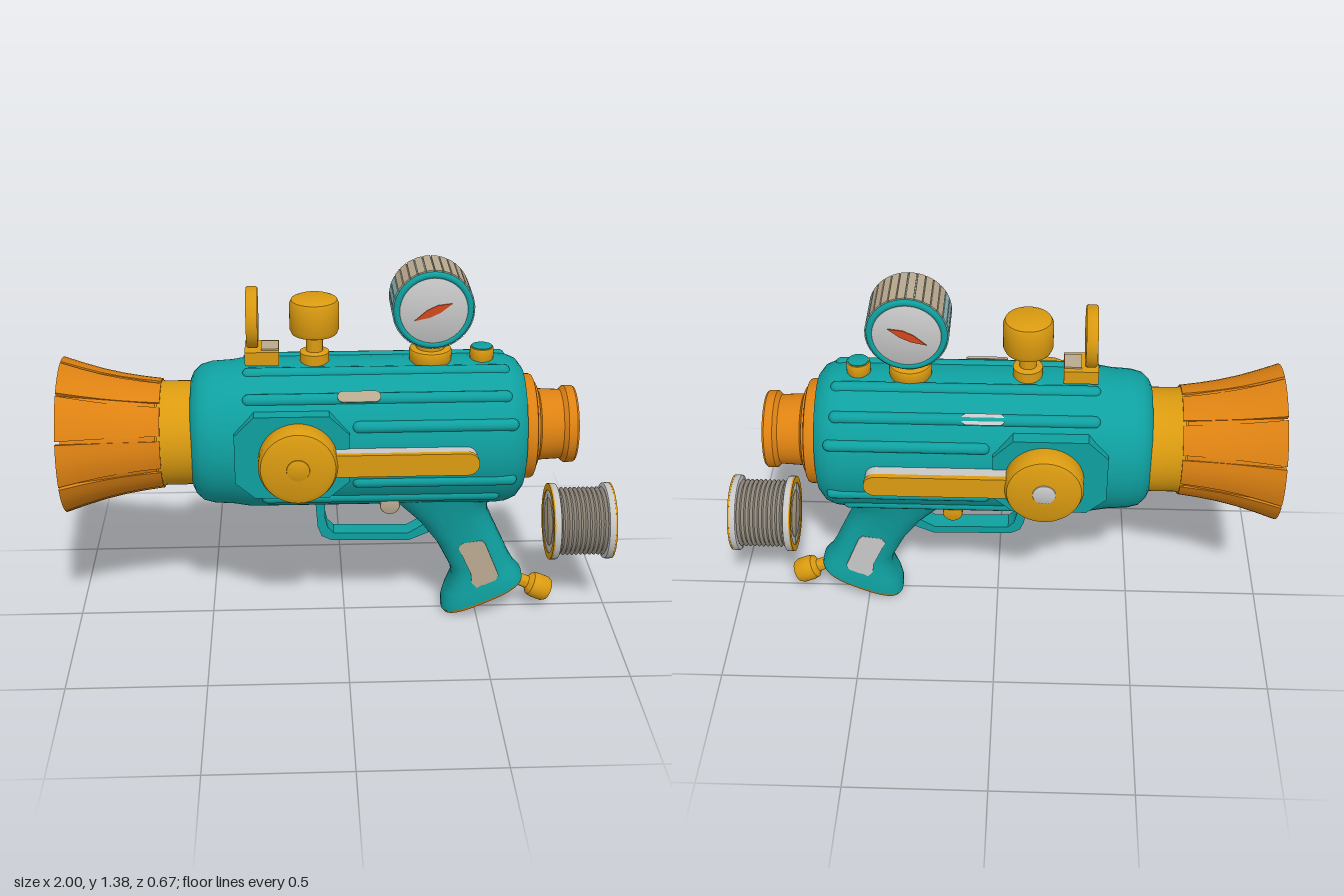
import * as THREE from 'three';
import { toCreasedNormals } from 'three/addons/utils/BufferGeometryUtils.js';

const material = (name, color) => {
  const m = new THREE.MeshStandardMaterial({ color });
  m.name = name;
  return m;
};

export function createModel() {
  const model = new THREE.Group();
  model.name = 'toyBlaster';
  const teal = material('teal', 0x0fa0a0);
  const orange = material('orange', 0xde8212);
  const yellow = material('yellow', 0xdb9b10);
  const beige = material('beige', 0xb9a98f);
  const grey = material('lightGrey', 0xc8c8c8);
  const cordTone = material('cord', 0xa0978a);
  const rimTone = material('paleTeal', 0x8fb8b8);
  const red = material('red', 0xd2481c);
  const AXIS = 0.757;

  const add = (name, geometry, mat, x = 0, y = 0, z = 0) => {
    const mesh = new THREE.Mesh(geometry, mat);
    mesh.name = name;
    mesh.position.set(x, y, z);
    model.add(mesh);
    return mesh;
  };
  const crease = (g, angle = 0.6) => toCreasedNormals(g, angle);

  // Turned part: profile of [radius, distance along axis]
  const turned = (name, mat, profile, axis, x, y, z, scaleY = 1) => {
    const g = new THREE.LatheGeometry(profile.map(p => new THREE.Vector2(...p)), 48);
    if (axis === 'x') g.rotateZ(-Math.PI / 2);
    if (axis === 'z') g.rotateX(Math.PI / 2);
    if (axis === '-z') g.rotateX(-Math.PI / 2);
    g.scale(1, scaleY, 1);
    return add(name, crease(g), mat, x, y, z);
  };
  // Solid disc with a softened edge
  const puck = (r, a, b, e = 0.01) =>
    [[0, a], [r - e, a], [r - e * 0.3, a + e * 0.3], [r, a + e], [r, b - e], [r - e * 0.3, b - e * 0.3], [r - e, b], [0, b]];

  // Flat plate between two depths, mirrored to the side s
  const plate = (name, mat, shape, z0, z1, s = 1) => {
    const g = new THREE.ExtrudeGeometry(shape, { depth: z1 - z0, bevelEnabled: false, curveSegments: 10 });
    return add(name, crease(g), mat, 0, 0, s > 0 ? z0 : -z1);
  };
  const polygon = pts => new THREE.Shape(pts.map(p => new THREE.Vector2(...p)));
  const stadium = (x0, x1, y, r) => {
    const s = new THREE.Shape();
    s.absarc(x1 - r, y, r, -Math.PI / 2, Math.PI / 2);
    s.absarc(x0 + r, y, r, Math.PI / 2, Math.PI * 1.5);
    return s;
  };

  // Main body, slightly taller than wide
  turned('body', teal, [[0, -0.545], [0.18, -0.545], [0.2, -0.535], [0.222, -0.51], [0.232, -0.47], [0.236, -0.4],
    [0.245, -0.34], [0.246, 0.54], [0.242, 0.58], [0.228, 0.615], [0.2, 0.638], [0, 0.642]], 'x', 0, AXIS, 0, 1.125);

  // Long ribs along the body
  const rib = (deg, x0, x1, s) => {
    const a = deg * Math.PI / 180, r = 0.022;
    const g = new THREE.CapsuleGeometry(r, x1 - x0 - 2 * r, 6, 12).rotateZ(Math.PI / 2);
    add('bodyRib', g, teal, (x0 + x1) / 2, AXIS + 0.267 * Math.sin(a), s * 0.237 * Math.cos(a));
  };

  // Horn: neck, outer shell, inner cone
  turned('hornNeck', yellow, [[0.19, -0.67], [0.195, -0.66], [0.188, -0.64], [0.188, -0.53]], 'x', 0, AXIS, 0);
  turned('hornShell', orange, [[0.255, -0.985], [0.222, -0.82], [0.188, -0.65]], 'x', 0, AXIS, 0);
  turned('hornInside', yellow, [[0, -0.66], [0.17, -0.66], [0.24, -0.985], [0.255, -0.985]], 'x', 0, AXIS, 0);
  // Ten flared petals wrapped around the horn
  for (let i = 0; i < 10; i++) {
    const g = new THREE.BoxGeometry(1, 1, 1, 5, 1, 5);
    const p = g.attributes.position;
    for (let k = 0; k < p.count; k++) {
      const u = p.getX(k) + 0.5, v = p.getY(k) - 0.5, w = p.getZ(k);
      const r = 0.28 - 0.083 * u - 0.012 * Math.sin(Math.PI * u) + v * 0.027;
      const t = (i + 0.5 + w * (0.93 - 0.08 * u)) * Math.PI / 5;
      p.setXYZ(k, -1 + 0.35 * u, r * Math.cos(t), r * Math.sin(t));
    }
    add('hornPetal', crease(g), orange, 0, AXIS, 0);
  }

  // Rear ring and nozzle
  turned('rearRing', orange, puck(0.19, 0.63, 0.68, 0.012), 'x', 0, 0.763, 0);
  turned('rearNozzle', orange, [[0.16, 0.675], [0.155, 0.69], [0.13, 0.7], [0.126, 0.78], [0.14, 0.795],
    [0.14, 0.825], [0.135, 0.832], [0.105, 0.832], [0.102, 0.82]], 'x', 0, 0.768, 0);
  turned('rearCap', beige, [[0.106, 0.822], [0, 0.822]], 'x', 0, 0.768, 0);

  // Parts on both sides
  for (const s of [1, -1]) {
    const axis = s > 0 ? 'z' : '-z';
    const trim = s > 0 ? beige : grey;
    for (const [deg, x0, x1] of [[24, 0.02, 0.6], [-22, 0.02, 0.6], [46, -0.36, 0.58], [-42, -0.3, 0.55], [72, -0.36, 0.58]])
      rib(deg, x0, x1, s);
    plate('dialCollar', teal, polygon([[-0.39, 0.67], [-0.32, 0.61], [-0.06, 0.61], [0.01, 0.67],
      [0.01, 0.85], [-0.06, 0.92], [-0.32, 0.92], [-0.39, 0.85]]), 0.12, 0.247, s);
    turned('sideDial', yellow, puck(0.138, 0.2, 0.33, 0.028), axis, -0.17, AXIS, 0);
    turned('dialCentre', s > 0 ? yellow : grey, puck(0.04, 0.325, 0.334, 0.003), axis, -0.17, AXIS, 0);
    plate('leverCore', grey, stadium(-0.1, 0.455, AXIS, 0.039), 0.22, 0.285, s);
    plate('leverFace', yellow, stadium(-0.1, 0.457, AXIS, 0.041), 0.285, 0.305, s);
    const slot = plate('bodySlot', trim, stadium(-0.075, 0.075, 0, 0.02), -0.004, 0.004, s);
    slot.position.set(0.045, 0.963, s * 0.18);
    slot.rotation.x = -s * 0.72;
    turned('pivotPin', s > 0 ? beige : yellow, puck(0.036, 0.1, 0.185, 0.006), axis, 0.157, 0.54, 0);
    plate('gripPanel', trim, polygon([[0.42, 0.31], [0.435, 0.33], [0.505, 0.34], [0.52, 0.325],
      [0.575, 0.19], [0.565, 0.17], [0.495, 0.137], [0.475, 0.16], [0.47, 0.2]]), 0.086, 0.095, s);
  }

  // Grip: cross-sections of [front x, front y, rear x, rear y, half width]
  const loft = (name, mat, sections) => {
    const n = 32, pos = [], index = [];
    const pw = c => Math.sign(c) * Math.pow(Math.abs(c), 0.7);
    for (const [lx, ly, rx, ry, hz] of sections)
      for (let i = 0; i < n; i++) {
        const t = i / n * Math.PI * 2, c = (1 + pw(Math.cos(t))) / 2;
        pos.push(lx + (rx - lx) * c, ly + (ry - ly) * c, hz * pw(Math.sin(t)));
      }
    for (let j = 0; j < sections.length - 1; j++)
      for (let i = 0; i < n; i++) {
        const a = j * n + i, b = j * n + (i + 1) % n;
        index.push(a, b, a + n, b, b + n, a + n);
      }
    const g = new THREE.BufferGeometry();
    g.setAttribute('position', new THREE.Float32BufferAttribute(pos, 3));
    g.setIndex(index);
    add(name, crease(g, 0.7), mat);
  };
  loft('grip', teal, [[0.14, 0.52, 0.6, 0.57, 0.14], [0.2, 0.475, 0.53, 0.5, 0.125], [0.275, 0.4, 0.53, 0.44, 0.108],
    [0.345, 0.305, 0.56, 0.37, 0.095], [0.4, 0.195, 0.6, 0.285, 0.09], [0.405, 0.15, 0.62, 0.24, 0.09],
    [0.38, 0.085, 0.645, 0.195, 0.096], [0.37, 0.045, 0.672, 0.165, 0.1], [0.37, 0.014, 0.676, 0.147, 0.1]]);
  loft('gripBase', orange, [[0.37, 0.014, 0.676, 0.147, 0.1], [0.378, 0.003, 0.674, 0.137, 0.095],
    [0.52, 0.068, 0.52, 0.068, 0]]);

  // Valve at the base of the grip
  const valve = new THREE.LatheGeometry([[0, -0.1], [0.024, -0.1], [0.024, 0.075], [0.044, 0.09], [0.048, 0.11],
    [0.048, 0.15], [0.04, 0.165], [0, 0.168]].map(p => new THREE.Vector2(...p)), 24);
  add('gripValve', crease(valve), yellow, 0.63, 0.135, 0).rotation.z = -Math.PI / 2 - 0.42;

  // Trigger guard and trigger
  plate('triggerGuard', teal, polygon([[-0.11, 0.52], [-0.1, 0.38], [-0.085, 0.34], [-0.05, 0.322], [0.24, 0.315],
    [0.33, 0.355], [0.31, 0.39], [0.235, 0.345], [-0.04, 0.352], [-0.062, 0.375], [-0.073, 0.42], [-0.07, 0.52]]), -0.035, 0.035);

  // Sight
  add('sightBase', new THREE.BoxGeometry(0.12, 0.05, 0.12), yellow, -0.29, 1.06, 0);
  add('sightInset', new THREE.BoxGeometry(0.06, 0.008, 0.08), beige, -0.262, 1.087, 0);
  turned('sightDisc', yellow, [[0, -0.01], [0.085, -0.01], [0.088, -0.02], [0.104, -0.02], [0.108, -0.014],
    [0.108, 0.014], [0.104, 0.02], [0, 0.02]], 'x', -0.322, 1.195, 0);

  // Knob
  turned('knobStem', yellow, [[0.052, 1.02], [0.052, 1.065], [0.03, 1.07], [0.03, 1.14]], 'y', -0.105, 0, 0);
  turned('knob', yellow, puck(0.087, 1.13, 1.265, 0.022), 'y', -0.105, 0, 0);

  // Rear button
  turned('rearButton', yellow, puck(0.042, 1.02, 1.075, 0.006), 'y', 0.488, 0, 0);
  turned('rearButtonTop', teal, puck(0.037, 1.072, 1.078, 0.002), 'y', 0.488, 0, 0);

  // Gauge
  const GX = 0.305, GY = 1.242;
  turned('gaugeBase', yellow, puck(0.075, 1.02, 1.075, 0.008), 'y', GX, 0, 0);
  turned('gaugeNeck', yellow, [[0.05, 1.07], [0.05, 1.12]], 'y', GX, 0, 0);
  turned('gaugeDrum', rimTone, puck(0.138, -0.088, 0.088, 0.012), 'z', GX, GY, 0);
  for (let i = 0; i < 30; i++) {
    const a = i / 30 * Math.PI * 2;
    const tread = add('gaugeTread', new THREE.BoxGeometry(0.012, 0.026, 0.165), Math.sin(a) > 0.55 ? beige : rimTone,
      GX + 0.137 * Math.cos(a), GY + 0.137 * Math.sin(a), 0);
    tread.rotation.z = a;
  }
  for (const s of [1, -1]) {
    add('gaugeRing', new THREE.TorusGeometry(0.127, 0.012, 8, 48), teal, GX, GY, s * 0.084);
    turned('gaugeFace', grey, puck(0.118, 0.086, 0.092, 0.002), s > 0 ? 'z' : '-z', GX, GY, 0);
    const needle = plate('gaugeNeedle', red, polygon([[-0.075, -0.006], [-0.02, -0.016], [0.02, -0.014], [0.07, 0],
      [0.02, 0.014], [-0.02, 0.012]]), 0.091, 0.096, s);
    needle.position.x = GX;
    needle.position.y = GY;
    needle.rotation.z = 0.4;
  }

  // Separate spool with wound cord
  const SY = 0.365, wound = [];
  for (let i = 0; i <= 48; i++) wound.push([0.122 + 0.006 * Math.cos(i * Math.PI / 2), 0.785 + i * 0.2 / 48]);
  turned('spoolCord', cordTone, wound, 'x', 0, SY, 0);
  for (const [x, s] of [[0.782, -1], [0.984, 1]]) {
    turned('spoolFlange', grey, puck(0.143, x - 0.013, x + 0.013, 0.005), 'x', 0, SY, 0);
    const o = x + s * 0.013;
    turned('spoolRim', yellow, [[0.118, o - 0.003], [0.143, o - 0.003], [0.143, o + 0.003], [0.118, o + 0.003], [0.118, o - 0.003]], 'x', 0, SY, 0);
    turned('spoolHub', beige, puck(0.09, o - 0.002, o + 0.002, 0.001), 'x', 0, SY, 0);
  }
  return model;
}
